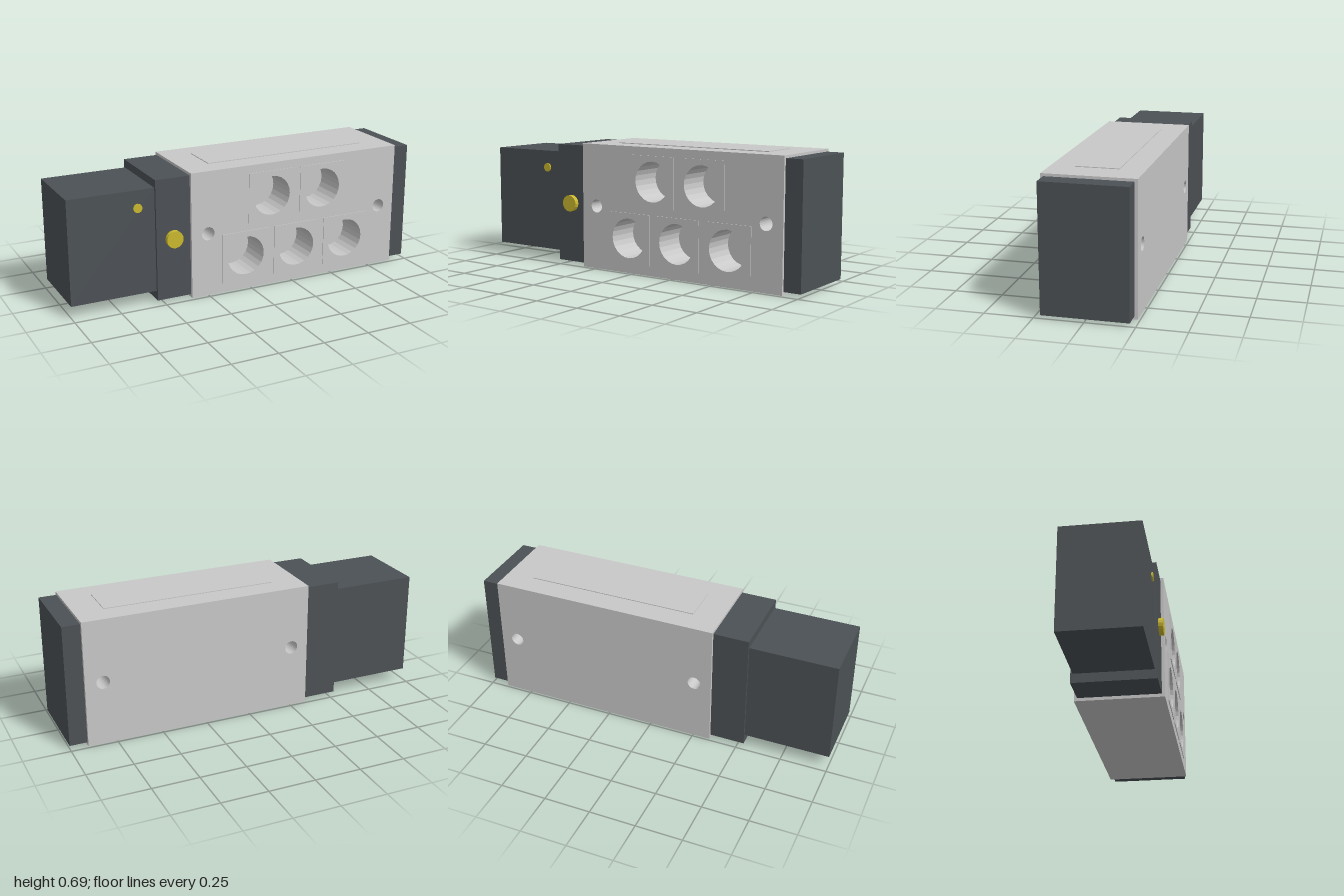
import * as THREE from 'three';

const lightGrey = new THREE.MeshStandardMaterial({ color: 0xc8c8c8 });
lightGrey.name = 'light grey metal';
const darkGrey = new THREE.MeshStandardMaterial({ color: 0x4c5155 });
darkGrey.name = 'dark grey plastic';
const yellow = new THREE.MeshStandardMaterial({ color: 0xcab92e });
yellow.name = 'yellow button';

const FRONT = 0.23, BACK = -0.238, PORT_DEPTH = 0.18;
const PORTS = [[0.125, 0.505], [0.435, 0.505], [-0.03, 0.19], [0.28, 0.19], [0.59, 0.19]];
const BOLTS = [[-0.25, 0.347], [0.81, 0.347]];
const PORT_R = 0.108, BOLT_R = 0.036;

export function createModel() {
  const model = new THREE.Group();
  model.name = 'pneumaticValve';

  const add = (name, geometry, material) => {
    const mesh = new THREE.Mesh(geometry, material);
    mesh.name = name;
    model.add(mesh);
  };

  // Box given by its limits on each axis
  const block = (name, x0, x1, y0, y1, z0, z1, material) => {
    const g = new THREE.BoxGeometry(x1 - x0, y1 - y0, z1 - z0);
    g.translate((x0 + x1) / 2, (y0 + y1) / 2, (z0 + z1) / 2);
    add(name, g, material);
  };

  // Rectangular slab along z, pierced by round holes [x, y, radius]
  const slab = (name, x0, x1, y0, y1, z0, z1, holes) => {
    const shape = new THREE.Shape();
    shape.moveTo(x0, y0).lineTo(x1, y0).lineTo(x1, y1).lineTo(x0, y1).closePath();
    for (const [x, y, r] of holes) {
      shape.holes.push(new THREE.Path().absarc(x, y, r, 0, Math.PI * 2, true));
    }
    const g = new THREE.ExtrudeGeometry(shape, { depth: z1 - z0, bevelEnabled: false, curveSegments: 12 });
    g.translate(0, 0, z0);
    add(name, g, lightGrey);
  };

  // Short cylinder facing forward
  const button = (name, x, y, r, z0, z1) => {
    const g = new THREE.CylinderGeometry(r, r, z1 - z0, 16).toNonIndexed();
    g.rotateX(Math.PI / 2);
    g.translate(x, y, (z0 + z1) / 2);
    g.computeVertexNormals();
    add(name, g, yellow);
  };

  // Valve body: bolt holes run right through, ports are blind
  const bolts = BOLTS.map(([x, y]) => [x, y, BOLT_R]);
  const ports = PORTS.map(([x, y]) => [x, y, PORT_R]);
  const split = FRONT - PORT_DEPTH;
  slab('bodyBack', -0.345, 0.905, 0, 0.687, BACK, split, bolts);
  slab('bodyFront', -0.345, 0.905, 0, 0.687, split, FRONT, [...bolts, ...ports]);

  // Thin raised square around each port, and the plate on top
  PORTS.forEach(([x, y], i) => {
    const h = 0.1375;
    slab(`portPlate${i + 1}`, x - h, x + h, y - h, y + h, FRONT, FRONT + 0.004, [[x, y, PORT_R]]);
  });
  block('topPlate', -0.19, 0.75, 0.687, 0.691, -0.112, 0.107, lightGrey);

  // End cap, pilot block and solenoid
  block('endCap', 0.905, 1, 0.017, 0.673, -0.222, 0.216, darkGrey);
  block('pilotBlock', -0.535, -0.345, 0.017, 0.673, -0.222, 0.214, darkGrey);
  block('solenoid', -1, -0.535, 0.067, 0.63, -0.21, 0.2, darkGrey);

  // Manual override and indicator
  button('overrideButton', -0.44, 0.347, 0.046, 0.2, 0.239);
  button('indicator', -0.628, 0.535, 0.024, 0.18, 0.207);

  return model;
}
